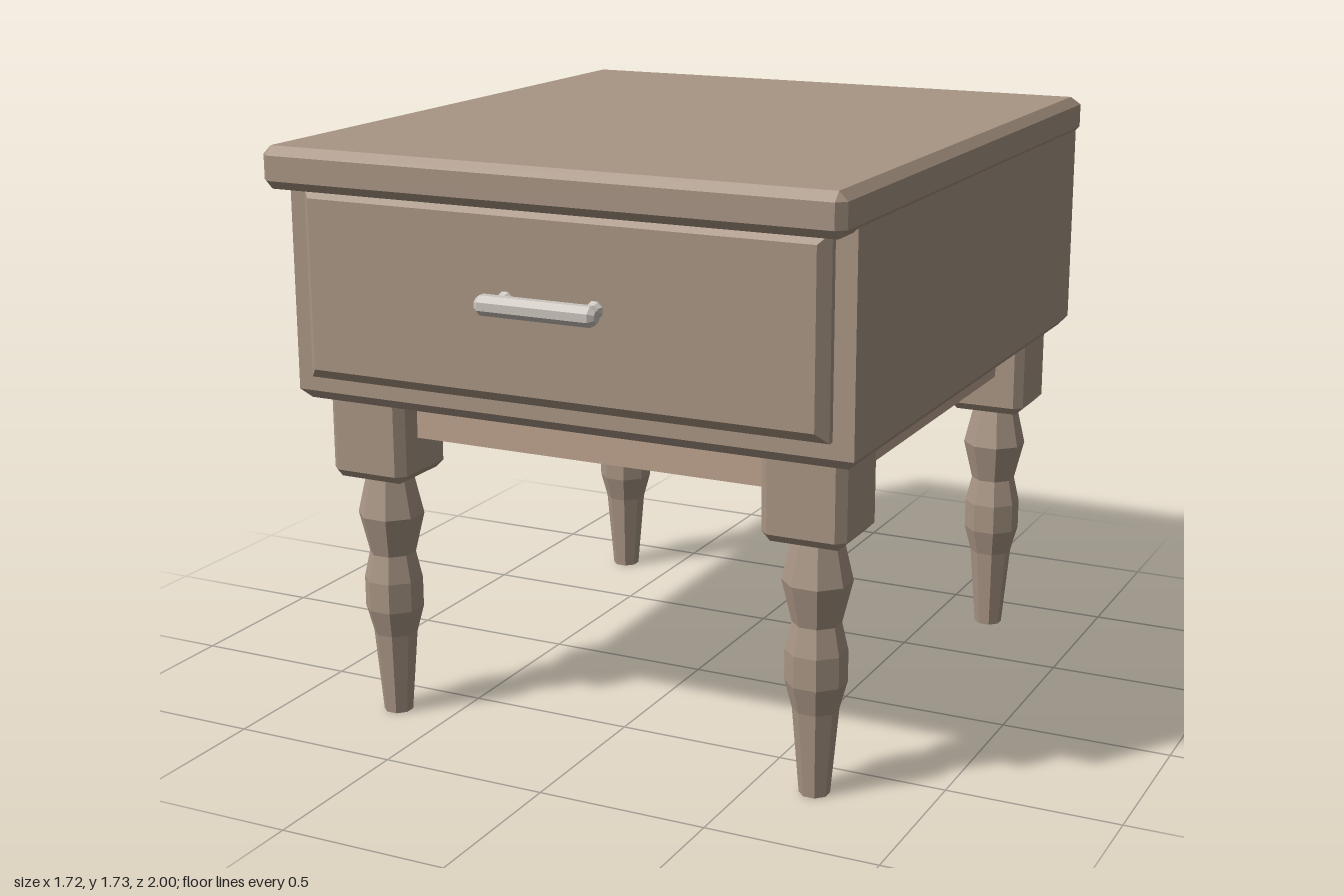
import * as THREE from 'three';

const paint = (color) => new THREE.MeshStandardMaterial({ color, flatShading: true, side: THREE.DoubleSide });

// Horizontal rectangle with optional cut corners at the front and back
function ring(y, x0, x1, z0, z1, front = 0, back = 0) {
  return [
    [x1, y, z0 + back], [x1 - back, y, z0], [x0 + back, y, z0], [x0, y, z0 + back],
    [x0, y, z1 - front], [x0 + front, y, z1], [x1 - front, y, z1], [x1, y, z1 - front],
  ];
}

// Skin a stack of rings (bottom to top) and cap both ends
function loft(rings) {
  const n = rings[0].length, index = [];
  for (let r = 0; r < rings.length - 1; r++) {
    for (let i = 0; i < n; i++) {
      const a = r * n + i, b = r * n + (i + 1) % n;
      index.push(a, b, b + n, a, b + n, a + n);
    }
  }
  const top = (rings.length - 1) * n;
  for (let i = 1; i < n - 1; i++) index.push(0, i + 1, i, top, top + i, top + i + 1);
  const g = new THREE.BufferGeometry();
  g.setAttribute('position', new THREE.Float32BufferAttribute(rings.flat(2), 3));
  g.setIndex(index);
  g.computeVertexNormals();
  return g;
}

// Eight-sided turning; profile holds [half width, height] pairs
function turned(profile) {
  const k = 1 / Math.cos(Math.PI / 8);
  return new THREE.LatheGeometry(profile.map(([r, y]) => new THREE.Vector2(r * k, y)), 8, Math.PI / 8);
}

export function createModel() {
  const group = new THREE.Group();
  const wood = paint(0xa89584), railWood = paint(0xbda38f), metal = paint(0xccc5bf);
  const add = (name, geometry, material, x = 0, y = 0, z = 0) => {
    const mesh = new THREE.Mesh(geometry, material);
    mesh.name = name;
    mesh.position.set(x, y, z);
    group.add(mesh);
    return mesh;
  };
  const c = 0.025;

  // Table top: flush at the back, bevelled elsewhere
  const W = 0.862, F = 0.975;
  add('tableTop', loft([
    ring(1.61, -W + c, W - c, -1, F - c),
    ring(1.635, -W, W, -1, F, c),
    ring(1.705, -W, W, -1, F, c),
    ring(1.73, -W + c, W - c, -1 + c, F - c),
  ]), wood);

  // Cabinet body with a bevelled bottom edge
  add('body', loft([
    ring(0.99, -0.825, 0.825, -0.975, 0.825),
    ring(1.018, -0.85, 0.85, -1, 0.85),
    ring(1.625, -0.85, 0.85, -1, 0.85),
  ]), wood);

  // Drawer front, lofted upwards then turned to face +z
  const drawer = loft([
    ring(0.84, -0.79, 0.79, -0.273, 0.273),
    ring(0.87, -0.79, 0.79, -0.273, 0.273),
    ring(0.9, -0.76, 0.76, -0.243, 0.243),
  ]).rotateX(Math.PI / 2);
  add('drawerFront', drawer, wood, 0, 1.338, 0);

  // Drawer pull: bar and two waisted posts
  const bar = turned([[0, -0.18], [0.016, -0.18], [0.0275, -0.165], [0.0275, 0.165], [0.016, 0.18], [0, 0.18]]);
  add('handleBar', bar.rotateZ(Math.PI / 2), metal, 0, 1.355, 0.9725);
  const post = turned([[0.025, -0.01], [0.023, 0.008], [0.014, 0.02], [0.014, 0.035], [0.022, 0.055], [0.022, 0.07]]);
  post.rotateX(Math.PI / 2);
  for (const s of [-1, 1]) add('handlePost', post, metal, s * 0.135, 1.355, 0.895);

  // Legs: bevelled block over a faceted turning
  const h = 0.1225;
  const block = loft([
    ring(0.745, -h + c, h - c, -h + c, h - c),
    ring(0.77, -h, h, -h, h, c, c),
    ring(0.995, -h, h, -h, h, c, c),
  ]);
  const leg = turned([
    [0, 0], [0.04, 0], [0.06, 0.25], [0.08, 0.33], [0.08, 0.42],
    [0.063, 0.5], [0.09, 0.62], [0.062, 0.75],
  ]);
  const legX = 0.678, frontZ = 0.667, backZ = -0.812;
  for (const x of [-legX, legX]) {
    for (const z of [frontZ, backZ]) {
      add('legBlock', block, wood, x, 0, z);
      add('turnedLeg', leg, wood, x, 0, z);
    }
  }

  // Rails joining the leg blocks
  const y = 0.9325, tall = 0.125, thick = 0.07;
  const cross = new THREE.BoxGeometry(2 * legX - 0.2, tall, thick);
  for (const z of [frontZ, backZ]) add('crossRail', cross, railWood, 0, y, z);
  const side = new THREE.BoxGeometry(thick, tall, frontZ - backZ - 0.2);
  for (const x of [-legX, legX]) add('sideRail', side, railWood, x, y, (frontZ + backZ) / 2);

  return group;
}
